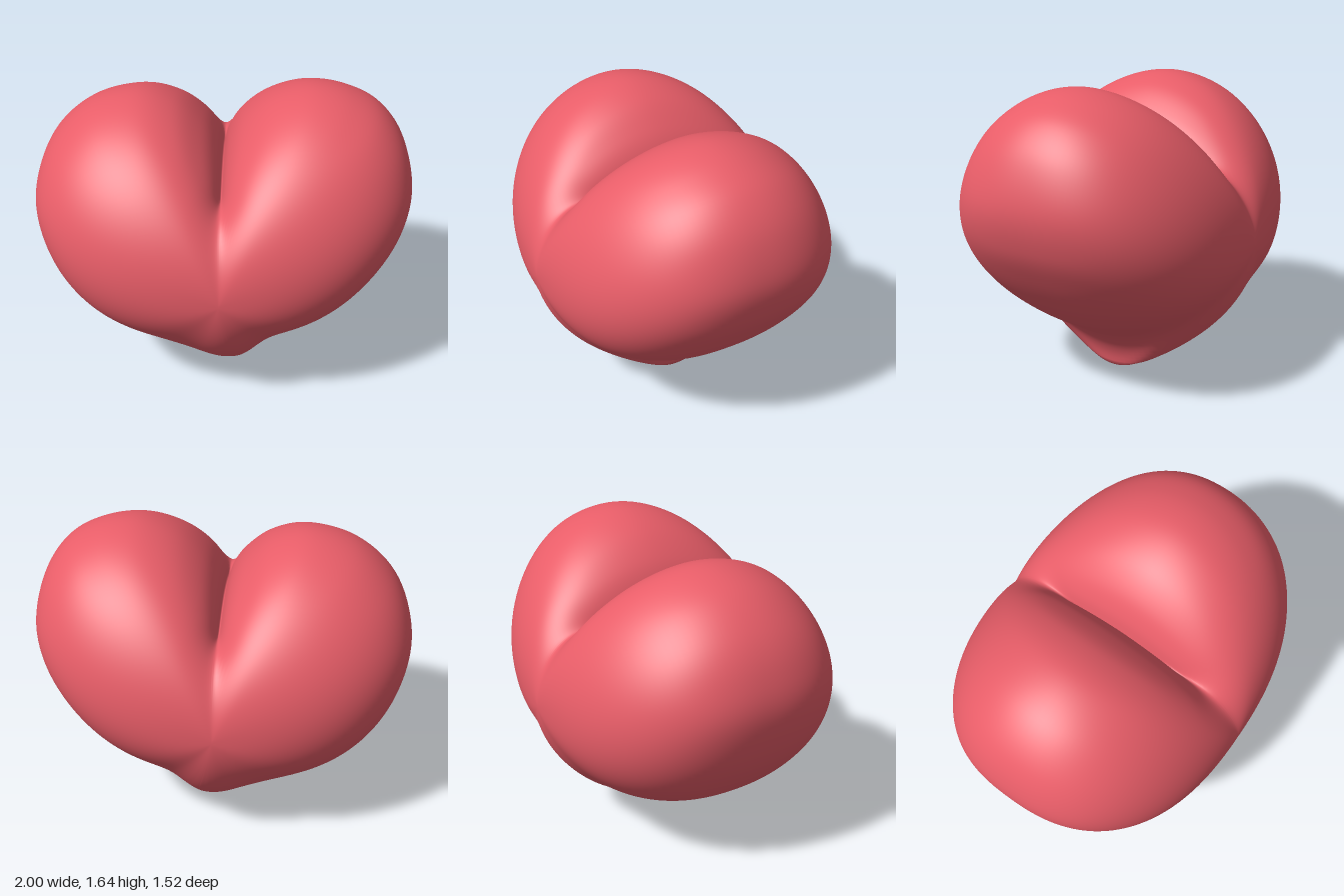
import * as THREE from 'three';
import { mergeVertices } from 'three/addons/utils/BufferGeometryUtils.js';

const CENTER_Y = 0.8, DEPTH = 0.762, ROWS = 72, SIDE = 120;

// Heart outline in two runs: notch to tip (left lobe), tip to notch (right lobe)
const LEFT = [[0, 1.21], [.03, 1.32], [.1, 1.44], [.22, 1.55], [.36, 1.615], [.5, 1.635], [.66, 1.605],
  [.82, 1.52], [.94, 1.36], [1, 1.13], [.96, .92], [.86, .74], [.72, .56], [.56, .415], [.4, .31],
  [.3, .245], [.215, .16], [.17, .08], [.15, 0]];
const RIGHT = [[.15, 0], [0, .065], [-.2, .148], [-.4, .24], [-.6, .36], [-.78, .51], [-.93, .74], [-1, 1.01],
  [-.965, 1.22], [-.86, 1.4], [-.68, 1.54], [-.45, 1.597], [-.26, 1.55], [-.12, 1.44], [-.04, 1.33], [0, 1.21]];

const sample = (pts) =>
  new THREE.SplineCurve(pts.map(([x, y]) => new THREE.Vector2(x, y))).getSpacedPoints(SIDE);

// Outline as polar pairs: clockwise angle from straight up, and radius
function polarOutline() {
  const pts = [...sample(LEFT), ...sample(RIGHT).slice(1)];
  return pts.map((p, i) => {
    let a = Math.atan2(p.x, p.y - CENTER_Y);
    if (a < 0) a += 2 * Math.PI;
    if (i === 0) a = 0;
    if (i === pts.length - 1) a = 2 * Math.PI;
    return { a, r: Math.hypot(p.x, p.y - CENTER_Y) };
  });
}

function radiusAt(outline, angle) {
  const a = THREE.MathUtils.euclideanModulo(angle, 2 * Math.PI);
  let lo = 0, hi = outline.length - 1;
  while (hi - lo > 1) {
    const mid = (lo + hi) >> 1;
    if (outline[mid].a <= a) lo = mid; else hi = mid;
  }
  const p = outline[lo], q = outline[hi];
  return THREE.MathUtils.lerp(p.r, q.r, (a - p.a) / (q.a - p.a || 1));
}

// Radius averaged over a window, which softens the notch and the tip
function softRadius(outline, angle, width) {
  let sum = 0, total = 0;
  for (let k = -10; k <= 10; k++) {
    const weight = 1 - Math.abs(k) / 11;
    sum += weight * radiusAt(outline, angle + width * k / 10);
    total += weight;
  }
  return sum / total;
}

function heartGeometry() {
  const { smoothstep, lerp } = THREE.MathUtils;
  const outline = polarOutline(), n = outline.length - 1;
  const positions = [], index = [];
  for (let i = 0; i <= ROWS; i++) {
    const u = Math.sin((i / ROWS - 0.5) * Math.PI), d = Math.abs(u);
    for (const { a } of outline) {
      // the tip softens close to the middle, the notch further out
      const up = (1 + Math.cos(a)) / 2;
      const soft = lerp(smoothstep(d, 0.02, 0.85), smoothstep(d, 0.35, 1), up);
      const r = softRadius(outline, a, 0.42 * soft);
      // fuller rounding toward the sides
      const p = 1.85 + 0.65 * Math.sin(a) ** 4;
      const rho = r * Math.max(0, 1 - d ** p) ** (1 / p);
      positions.push(rho * Math.sin(a), CENTER_Y + rho * Math.cos(a), DEPTH * u);
    }
  }
  for (let i = 0; i < ROWS; i++) {
    for (let j = 0; j < n; j++) {
      const a = i * (n + 1) + j, b = a + n + 1;
      if (i > 0) index.push(a, b, a + 1);
      if (i < ROWS - 1) index.push(a + 1, b, b + 1);
    }
  }
  const geometry = new THREE.BufferGeometry();
  geometry.setAttribute('position', new THREE.Float32BufferAttribute(positions, 3));
  geometry.setIndex(index);
  const welded = mergeVertices(geometry, 1e-5);
  welded.computeVertexNormals();
  return welded;
}

export function createModel() {
  const group = new THREE.Group();
  group.name = 'heartModel';
  const heart = new THREE.Mesh(heartGeometry(), new THREE.MeshStandardMaterial({ color: 0xe85d68 }));
  heart.name = 'heart';
  group.add(heart);
  return group;
}
